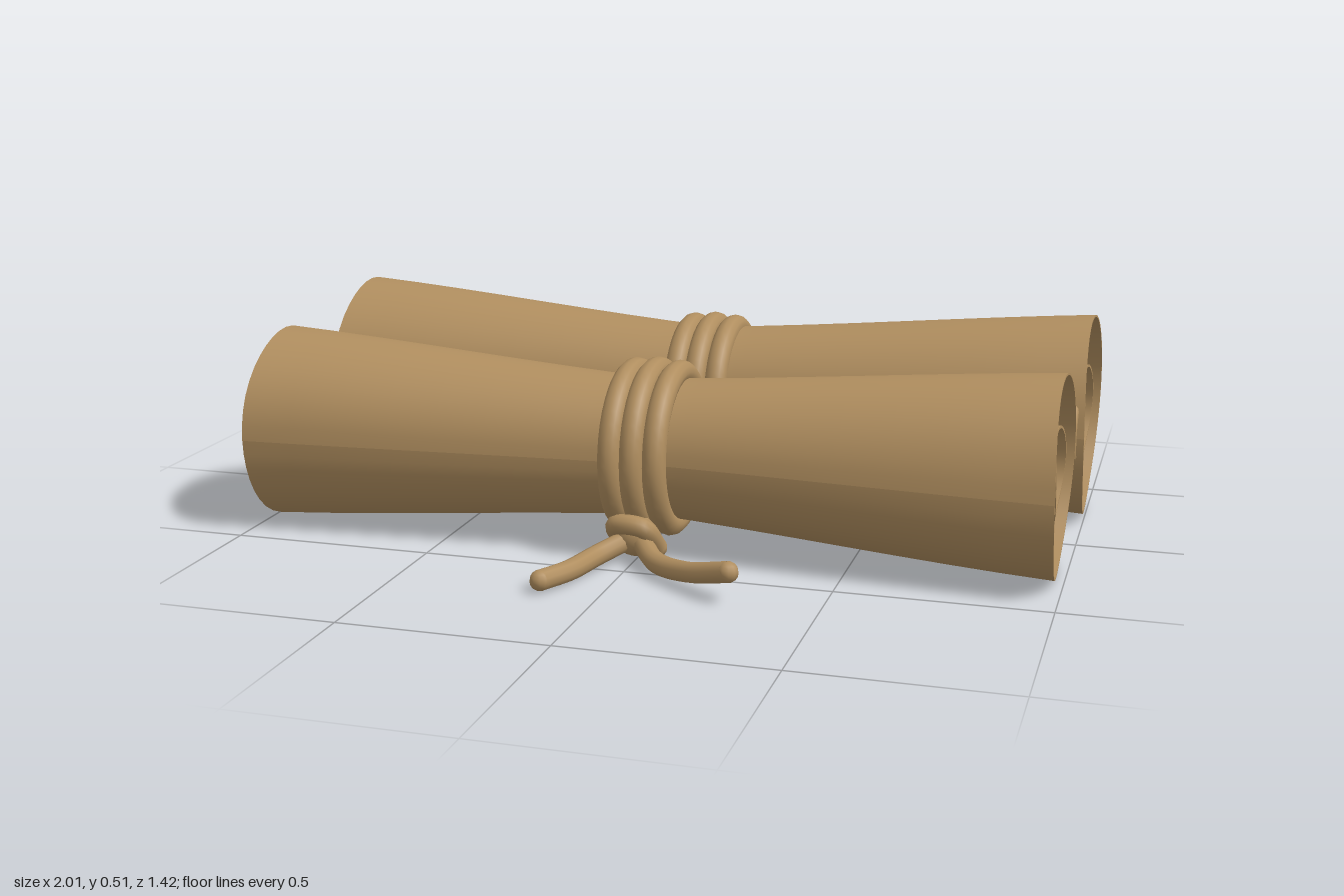
import * as THREE from 'three';

export function createModel() {
  const model = new THREE.Group();
  model.name = 'tiedScrolls';
  const parchment = new THREE.MeshStandardMaterial({ color: 0xb08e5f, side: THREE.DoubleSide });
  parchment.name = 'parchment tan';

  const add = (parent, name, geometry, x = 0, y = 0, z = 0) => {
    const mesh = new THREE.Mesh(geometry, parchment);
    mesh.name = name;
    mesh.position.set(x, y, z);
    parent.add(mesh);
    return mesh;
  };
  const vec = (p) => new THREE.Vector3(...p);
  const v2 = (r, t) => new THREE.Vector2(r, t);

  // Flared sheet along x: radius grows from waist to end, with a thin wall
  function flaredTube(half, waist, end, wallWaist, wallEnd, wobble, drift) {
    const steps = 16, outer = [], inner = [];
    for (let i = 0; i <= steps; i++) {
      const t = -1 + (2 * i) / steps;
      const a = Math.abs(t);
      const k = 0.75 * a + 0.25 * a * a * (3 - 2 * a);
      const r = waist + (end - waist) * k;
      outer.push(v2(r, t * half));
      inner.push(v2(r - (wallWaist + (wallEnd - wallWaist) * Math.min(1, a * 1.2)), t * half));
    }
    inner.reverse();
    // Doubled rim points keep the paper edge crisp
    const profile = [...outer, outer[steps].clone(), inner[0].clone(), ...inner,
      inner[steps].clone(), outer[0].clone()];
    const g = new THREE.LatheGeometry(profile, 40);
    g.rotateZ(-Math.PI / 2);
    // Slightly uneven roundness and edge
    const p = g.attributes.position;
    for (let i = 0; i < p.count; i++) {
      const x = p.getX(i), y = p.getY(i), z = p.getZ(i);
      const a = Math.abs(x) / half, th = Math.atan2(z, y);
      const s = 1 + wobble * a * (Math.sin(3 * th + x) + 0.6 * Math.sin(5 * th - 2 * x));
      const edge = 1 - 0.005 * a * (1 + Math.sin(2 * th + 1));
      p.setXYZ(i, x * edge, y * s, z * s + drift * a);
    }
    g.computeVertexNormals();
    return g;
  }

  const rope = (points, radius) => new THREE.TubeGeometry(
    new THREE.CatmullRomCurve3(points.map(vec)), 28, radius, 10);

  // Rope piece with rounded ends
  function cord(parent, name, points, radius) {
    add(parent, name, rope(points, radius));
    for (const p of [points[0], points[points.length - 1]])
      add(parent, name + 'End', new THREE.SphereGeometry(radius, 10, 8), ...p).scale.setScalar(0.99);
  }

  const scrolls = [
    { name: 'frontScroll', y: 0.25, z: 0.25, half: 0.988, waist: 0.166, end: 0.24,
      core: 0.11, coreWaist: 0.096, hole: 0.082, drift: 0, ring: 0.19 },
    { name: 'backScroll', y: 0.265, z: -0.277, half: 1.004, waist: 0.174, end: 0.255,
      core: 0.122, coreWaist: 0.108, hole: 0.092, drift: -0.022, ring: 0.185 },
  ];
  for (const s of scrolls) {
    const group = new THREE.Group();
    group.name = s.name;
    group.position.set(0, s.y, s.z);
    model.add(group);
    add(group, 'outerSheet', flaredTube(s.half, s.waist, s.end, 0.016, 0.005, 0.01, s.drift));
    add(group, 'innerRoll', flaredTube(s.half - 0.01, s.coreWaist, s.core,
      s.coreWaist - s.hole, 0.006, 0.015, s.drift * 0.6), 0, 0.008, 0);

    // Small torn paper shreds between the sheet and the inner roll
    for (let i = 0; i < 6; i++) {
      const a = i * 1.05 + 0.3, r = (s.coreWaist + s.waist) / 2;
      const shred = add(group, 'paperShred', new THREE.BoxGeometry(0.03, 0.06, 0.008),
        (i % 2 ? 1 : -1) * 0.3, Math.cos(a) * r, Math.sin(a) * r);
      shred.rotation.x = a;
    }

    // Three rope turns around the waist
    for (const x of [-0.055, 0, 0.055]) {
      const turn = add(group, 'ropeTurn',
        new THREE.TorusGeometry(s.ring - (x ? 0.005 : 0), 0.029, 12, 40), x, 0, 0);
      turn.rotation.y = Math.PI / 2;
    }
  }

  // Rope knot between the scrolls
  for (const x of [-0.042, 0.042])
    add(model, 'middleKnot', new THREE.SphereGeometry(1, 16, 12), x, 0.255, -0.03)
      .scale.set(0.045, 0.06, 0.042);

  // Front knot and its two loose tails
  add(model, 'frontKnot', new THREE.SphereGeometry(1, 16, 12), 0, 0.07, 0.405)
    .scale.set(0.055, 0.05, 0.045);
  cord(model, 'knotLoop', [[-0.05, 0.05, 0.37], [-0.04, 0.1, 0.43], [0.03, 0.1, 0.44], [0.05, 0.04, 0.39]], 0.024);
  cord(model, 'shortTail', [[-0.02, 0.06, 0.42], [-0.07, 0.04, 0.49], [-0.1, 0.036, 0.6], [-0.14, 0.036, 0.685]], 0.025);
  cord(model, 'longTail', [[0.02, 0.06, 0.42], [0.08, 0.04, 0.5], [0.18, 0.05, 0.575], [0.29, 0.082, 0.64]], 0.025);

  // Loose cut rope ends behind
  for (const x of [-0.053, 0.053]) {
    const stub = add(model, 'ropeStub', new THREE.CapsuleGeometry(0.026, 0.166, 2, 12), x, 0.085, -0.62);
    stub.geometry = new THREE.CylinderGeometry(0.026, 0.026, 0.18, 12);
    stub.rotation.x = Math.PI / 2;
  }

  // Curled paper slivers at both ends of the back scroll
  for (const x of [-0.975, 0.975])
    add(model, 'curledSliver', rope([[x, 0.2, -0.09], [x, 0.23, -0.035], [x, 0.29, -0.03],
      [x, 0.335, -0.07], [x, 0.31, -0.095]], 0.012));

  return model;
}
